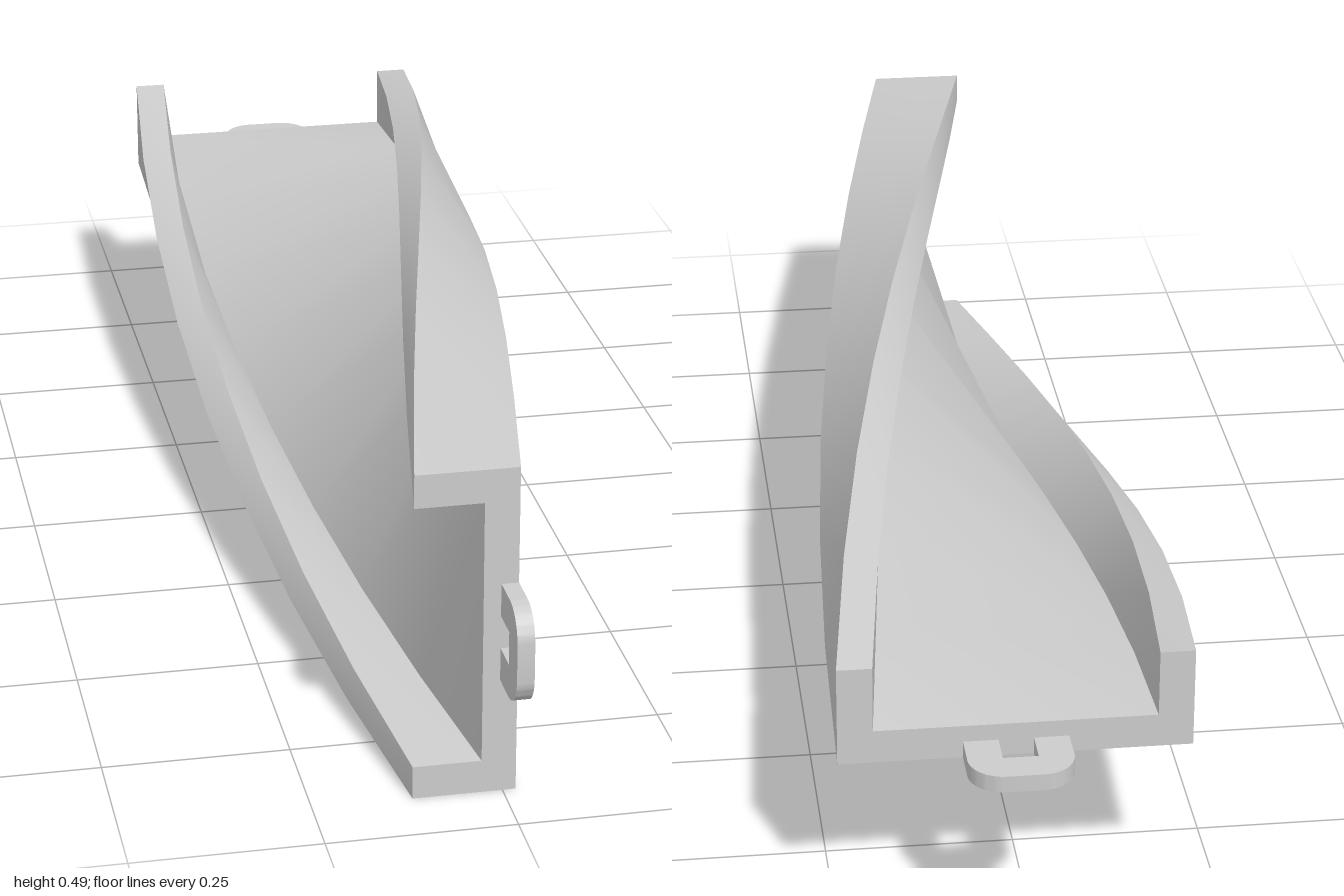
import * as THREE from 'three';
import { toCreasedNormals } from 'three/addons/utils/BufferGeometryUtils.js';

const AXIS = { x: 0.0175, y: 0.228 }; // twist axis: middle of the channel's outer face
const HALF_LENGTH = 0.909;
const HALF_WIDTH = 0.228;
const HEIGHT = 0.136;
const WALL = 0.0455;

const material = new THREE.MeshStandardMaterial({ color: 0xcccccc });

// U-shaped channel swept along z while turning a quarter turn
function twistedChannel() {
  const w = HALF_WIDTH, i = HALF_WIDTH - WALL;
  const profile = new THREE.Shape([
    [-w, 0], [w, 0], [w, HEIGHT], [i, HEIGHT],
    [i, WALL], [-i, WALL], [-i, HEIGHT], [-w, HEIGHT],
  ].map(([x, y]) => new THREE.Vector2(x, y)));
  const geometry = new THREE.ExtrudeGeometry(profile, {
    depth: 2 * HALF_LENGTH, steps: 8, bevelEnabled: false,
  });

  const pos = geometry.attributes.position;
  const v = new THREE.Vector3();
  const zAxis = new THREE.Vector3(0, 0, 1);
  for (let k = 0; k < pos.count; k++) {
    v.fromBufferAttribute(pos, k);
    v.applyAxisAngle(zAxis, (v.z / (2 * HALF_LENGTH)) * Math.PI / 2);
    pos.setXYZ(k, v.x + AXIS.x, v.y + AXIS.y, v.z - HALF_LENGTH);
  }
  return toCreasedNormals(geometry, 0.6);
}

// Flat eyelet with rounded outer corners, open towards the channel end
function eyelet() {
  const w = 0.068, hole = 0.0227, reach = 0.091, r = 0.045;
  const s = new THREE.Shape();
  s.moveTo(hole, 0);
  s.lineTo(w, 0);
  s.lineTo(w, reach - r);
  s.absarc(w - r, reach - r, r, 0, Math.PI / 2);
  s.lineTo(-w + r, reach);
  s.absarc(-w + r, reach - r, r, Math.PI / 2, Math.PI);
  s.lineTo(-w, 0);
  s.lineTo(-hole, 0);
  s.lineTo(-hole, 0.0455);
  s.lineTo(hole, 0.0455);
  s.closePath();
  const geometry = new THREE.ExtrudeGeometry(s, {
    depth: 0.0227, bevelEnabled: false, curveSegments: 8,
  });
  return toCreasedNormals(geometry, 0.6);
}

export function createModel() {
  const model = new THREE.Group();
  model.name = 'twistedChannelTrack';

  const channel = new THREE.Mesh(twistedChannel(), material);
  channel.name = 'channel';
  model.add(channel);

  // Back eyelet lies flat, front eyelet stands upright
  const back = new THREE.Mesh(eyelet().rotateX(-Math.PI / 2), material);
  back.name = 'backEyelet';
  back.position.set(AXIS.x, AXIS.y, -HALF_LENGTH);

  const front = new THREE.Mesh(eyelet().rotateX(Math.PI / 2).rotateZ(-Math.PI / 2), material);
  front.name = 'frontEyelet';
  front.position.set(AXIS.x, AXIS.y, HALF_LENGTH);

  model.add(back, front);
  return model;
}
